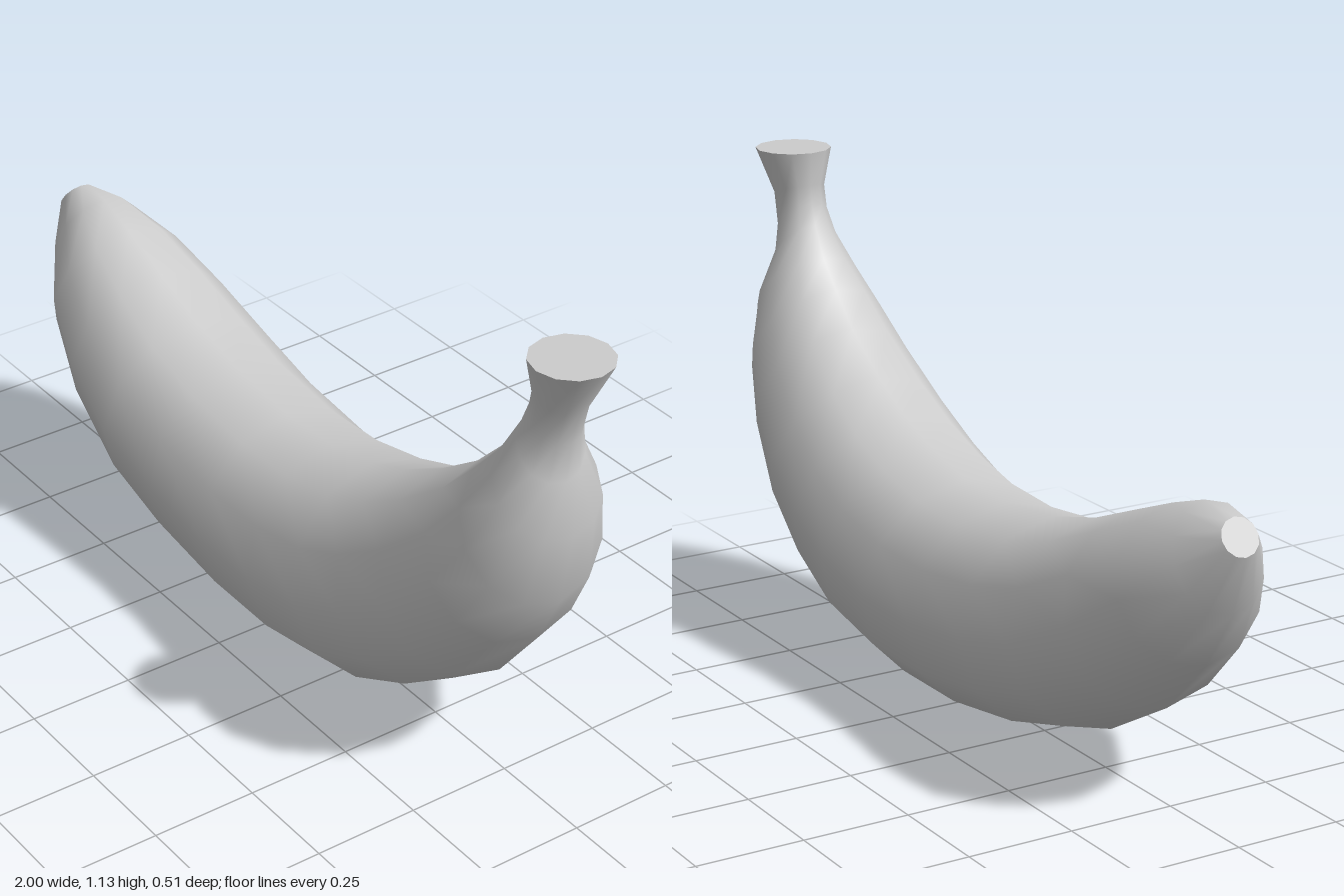
import * as THREE from 'three';

const SIDES = 12;

// Cross-sections from blossom tip to stem: outer edge x, y, inner edge x, y, half width in z
const SECTIONS = [
  [-1.0, 0.635, -0.955, 0.71, 0.045],
  [-0.96, 0.5, -0.85, 0.717, 0.11],
  [-0.87, 0.36, -0.74, 0.68, 0.18],
  [-0.73, 0.22, -0.6, 0.625, 0.222],
  [-0.52, 0.1, -0.45, 0.565, 0.246],
  [-0.31, 0.04, -0.28, 0.52, 0.248],
  [-0.06, 0.003, -0.08, 0.497, 0.25],
  [0.17, 0.003, 0.09, 0.505, 0.254],
  [0.38, 0.045, 0.25, 0.54, 0.257],
  [0.56, 0.135, 0.37, 0.585, 0.25],
  [0.72, 0.255, 0.49, 0.65, 0.235],
  [0.84, 0.41, 0.62, 0.74, 0.207],
  [0.91, 0.545, 0.7, 0.82, 0.175],
  [0.94, 0.72, 0.76, 0.885, 0.13],
  [0.91, 0.84, 0.8, 0.96, 0.081],
  [0.917, 0.935, 0.816, 1.01, 0.063],
  [0.94, 1.02, 0.82, 1.055, 0.061],
  [1.0, 1.135, 0.815, 1.135, 0.092],
];

// Ellipse of points running outer edge -> +z -> inner edge -> -z
function ring([ox, oy, ix, iy, w]) {
  const points = [];
  for (let j = 0; j < SIDES; j++) {
    const a = (j / SIDES) * Math.PI * 2;
    const t = (1 - Math.cos(a)) / 2;
    points.push(new THREE.Vector3(ox + (ix - ox) * t, oy + (iy - oy) * t, w * Math.sin(a)));
  }
  return points;
}

function makeMesh(name, points, index, material) {
  const geometry = new THREE.BufferGeometry().setFromPoints(points);
  geometry.setIndex(index);
  geometry.computeVertexNormals();
  const mesh = new THREE.Mesh(geometry, material);
  mesh.name = name;
  return mesh;
}

// Flat disc closing one end
function makeCap(name, section, flip, material) {
  const index = [];
  for (let j = 1; j < SIDES - 1; j++) index.push(0, flip ? j + 1 : j, flip ? j : j + 1);
  return makeMesh(name, ring(section), index, material);
}

export function createModel() {
  const group = new THREE.Group();
  group.name = 'banana';
  const material = new THREE.MeshStandardMaterial({ color: 0xcccccc });

  // Smooth curved skin, including the neck and stem
  const index = [];
  for (let i = 0; i < SECTIONS.length - 1; i++) {
    for (let j = 0; j < SIDES; j++) {
      const a = i * SIDES + j;
      const c = i * SIDES + ((j + 1) % SIDES);
      index.push(a, a + SIDES, c, c, a + SIDES, c + SIDES);
    }
  }
  group.add(makeMesh('peel', SECTIONS.flatMap(ring), index, material));

  // Sharp-edged ends
  group.add(makeCap('blossomTip', SECTIONS[0], false, material));
  group.add(makeCap('stemEnd', SECTIONS[SECTIONS.length - 1], true, material));
  return group;
}
